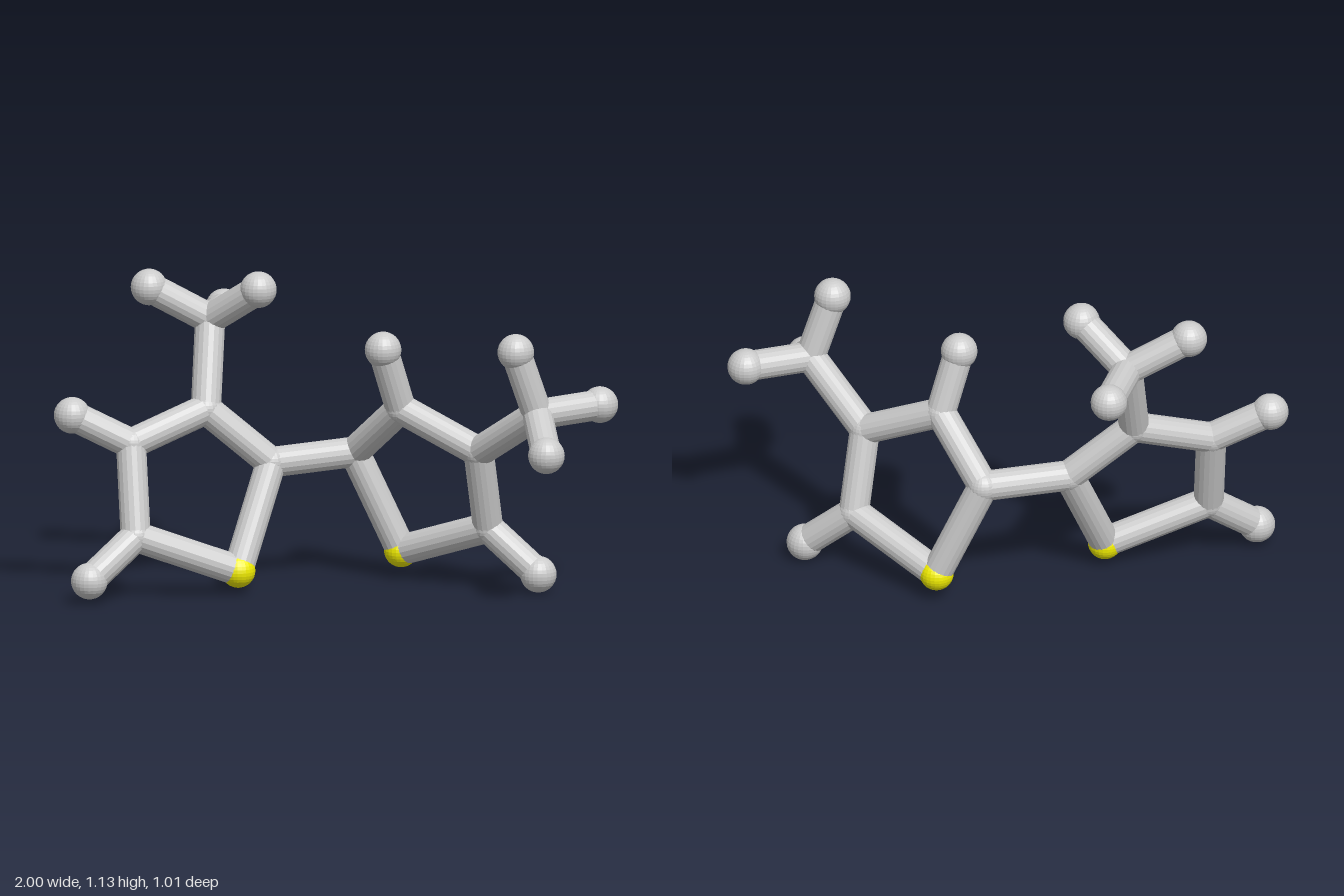
import * as THREE from 'three';

const BOND_RADIUS = 0.054;
const grey = new THREE.MeshStandardMaterial({ color: 0xcccccc, flatShading: true });
const yellow = new THREE.MeshStandardMaterial({ color: 0xf2ee00, flatShading: true });

// Each atom: [x, y, z]. Both halves use the same labels and bond list.
const halves = {
  right: {
    sulfur: [-0.35, 0.088, 0.075],
    linkCarbon: [-0.24, 0.445, -0.1],
    upperCarbon: [-0.47, 0.64, -0.075],
    outerCarbon: [-0.73, 0.54, 0.06],
    lowerCarbon: [-0.71, 0.225, 0.16],
    methylCarbon: [-0.46, 0.94, -0.205],
    lowerHydrogen: [-0.87, 0.085, 0.27],
    sideHydrogen: [-0.938, 0.645, 0.08],
    methylHydrogenA: [-0.675, 1.06, -0.172],
    methylHydrogenB: [-0.285, 1.068, -0.097],
    methylHydrogenC: [-0.42, 0.936, -0.445],
  },
  left: {
    sulfur: [0.215, 0.103, -0.245],
    linkCarbon: [0.05, 0.458, -0.235],
    upperCarbon: [0.22, 0.65, -0.06],
    outerCarbon: [0.5, 0.515, 0.035],
    lowerCarbon: [0.53, 0.225, -0.05],
    methylCarbon: [0.715, 0.69, 0.23],
    lowerHydrogen: [0.71, 0.068, 0.0],
    sideHydrogen: [0.16, 0.872, -0.006],
    methylHydrogenA: [0.64, 0.92, 0.263],
    methylHydrogenB: [0.932, 0.703, 0.108],
    methylHydrogenC: [0.755, 0.583, 0.44],
  },
};

const ring = ['sulfur', 'linkCarbon', 'upperCarbon', 'outerCarbon', 'lowerCarbon'];

// The methyl group and the side hydrogen swap places between the halves.
const methylHost = { right: 'upperCarbon', left: 'outerCarbon' };
const sideHost = { right: 'outerCarbon', left: 'upperCarbon' };

function atom(name, position) {
  const isSulfur = name === 'sulfur';
  const radius = isSulfur ? 0.061 : name.includes('Hydrogen') ? 0.065 : BOND_RADIUS + 0.002;
  const mesh = new THREE.Mesh(new THREE.SphereGeometry(radius, 24, 16), isSulfur ? yellow : grey);
  mesh.name = name;
  mesh.position.set(...position);
  return mesh;
}

// Cylinder running from point a to point b
function bond(name, a, b) {
  const start = new THREE.Vector3(...a);
  const end = new THREE.Vector3(...b);
  const axis = end.clone().sub(start);
  const mesh = new THREE.Mesh(
    new THREE.CylinderGeometry(BOND_RADIUS, BOND_RADIUS, axis.length(), 18), grey);
  mesh.name = name;
  mesh.position.copy(start).add(end).multiplyScalar(0.5);
  mesh.quaternion.setFromUnitVectors(new THREE.Vector3(0, 1, 0), axis.normalize());
  return mesh;
}

export function createModel() {
  const model = new THREE.Group();
  model.name = 'ballAndStickMolecule';

  for (const side of ['left', 'right']) {
    const atoms = halves[side];
    const half = new THREE.Group();
    half.name = `${side}Half`;

    for (const [name, position] of Object.entries(atoms)) half.add(atom(name, position));

    // Five-sided ring, then its side branches
    const pairs = ring.map((name, i) => [name, ring[(i + 1) % ring.length]]);
    pairs.push(['lowerCarbon', 'lowerHydrogen'],
      [sideHost[side], 'sideHydrogen'],
      [methylHost[side], 'methylCarbon']);
    for (const letter of 'ABC') pairs.push(['methylCarbon', `methylHydrogen${letter}`]);

    for (const [a, b] of pairs) half.add(bond(`${a}To${b}Bond`, atoms[a], atoms[b]));
    model.add(half);
  }

  // Bridge between the two rings
  model.add(bond('bridgeBond', halves.right.linkCarbon, halves.left.linkCarbon));
  return model;
}
